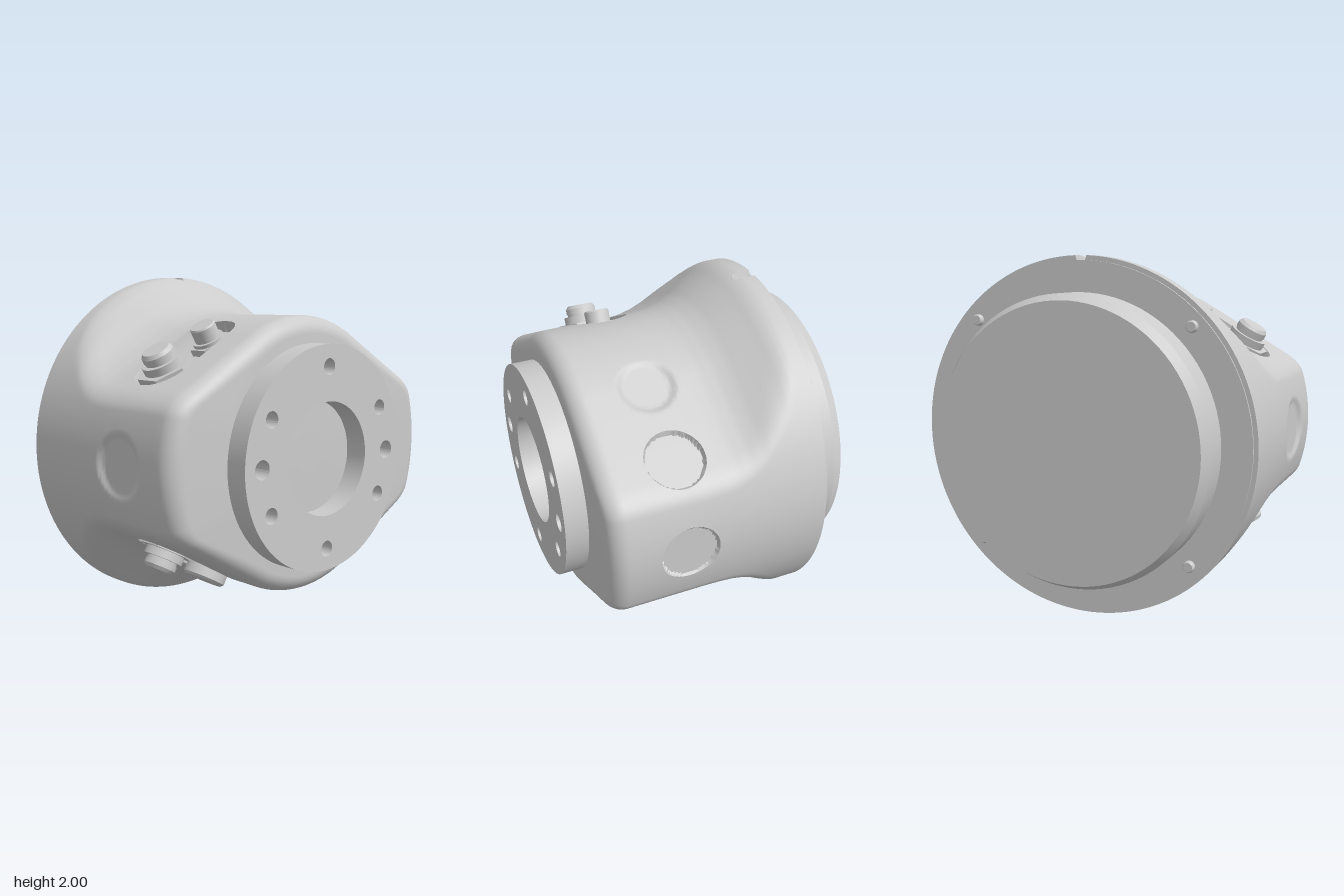
import * as THREE from 'three';
import { toCreasedNormals } from 'three/addons/utils/BufferGeometryUtils.js';

const rad = THREE.MathUtils.degToRad;
const mat = new THREE.MeshStandardMaterial({ color: 0xcccccc });

function add(parent, name, geo) {
  const mesh = new THREE.Mesh(geo, mat);
  mesh.name = name;
  parent.add(mesh);
  return mesh;
}

// Solid of revolution about x from [radius, x] points
function turned(points, segments = 96) {
  const geo = new THREE.LatheGeometry(points.map(p => new THREE.Vector2(p[0], p[1])), segments);
  geo.rotateZ(-Math.PI / 2);
  return toCreasedNormals(geo, rad(25));
}

// Recesses: face angle from +y towards +z, capsule span in x and along the face, floor distance from axis
const pocket = (angle, t0, t1, r, floor, soft = 0, x0 = 0.225, x1 = x0) =>
  ({ angle: rad(angle), t0, t1, r, floor, soft, x0, x1 });
const SLOT_FLOOR = 0.69;
const pockets = [
  pocket(30, 0, 0.34, 0.17, SLOT_FLOOR),
  pocket(150, -0.34, 0, 0.17, SLOT_FLOOR),
  pocket(-30, -0.44, -0.44, 0.165, 0.745),
  pocket(-150, 0.44, 0.44, 0.165, 0.745),
  pocket(-90, 0, 0, 0.165, 0.975),
  pocket(90, 0, 0, 0.17, 0.975, 0.025),
  pocket(-30, 0, 0, 0.145, 0.752, 0.025),
  pocket(-150, -0.05, 0.2, 0.1, 0.775, 0.05, -0.17),
  pocket(0, 0, 0, 0.033, 0.97, 0, -0.7, -0.48),
];

const clamp = THREE.MathUtils.clamp;

// Press the pockets into a surface point [x, y, z]; sharp rims attract nearby vertices
function press(p) {
  for (const k of pockets) {
    const c = Math.cos(k.angle), s = Math.sin(k.angle);
    let h = p[1] * c + p[2] * s;
    let t = -p[1] * s + p[2] * c;
    if (h < 0.5) continue;
    const dx = p[0] - clamp(p[0], k.x0, k.x1);
    const dt = t - clamp(t, k.t0, k.t1);
    const len = Math.hypot(dx, dt);
    const d = len - k.r;
    const snap = 0.0075;
    if (k.soft) {
      const m = 1 - THREE.MathUtils.smoothstep(d, -k.soft, k.soft);
      h += (Math.min(h, k.floor) - h) * m;
    } else if (d < -snap) {
      h = k.floor;
    } else if (d < snap) {
      p[0] = Math.max(-0.57, p[0] - d * dx / len);
      t -= d * dt / len;
    } else continue;
    p[1] = h * c - t * s;
    p[2] = h * s + t * c;
  }
  return p;
}

// Distance of the sloped faces from the axis along x
const flare = [[-0.57, 1.08], [-0.5, 1.05], [-0.45, 1.005], [-0.38, 0.945], [-0.3, 0.892],
  [-0.22, 0.84], [-0.15, 0.808], [-0.07, 0.787], [0, 0.779], [0.1, 0.775], [0.7, 0.775]];
function flareAt(x) {
  const i = Math.max(1, flare.findIndex(p => p[0] >= x));
  const [a, b] = [flare[i - 1], flare[i]];
  return a[1] + (b[1] - a[1]) * (x - a[0]) / (b[0] - a[0]);
}

// Round section cut by four sloped faces that meet in an arc at top and bottom
function sectionRadius(x, phi) {
  const fromVertical = Math.acos(Math.min(1, Math.abs(Math.cos(phi))));
  const a = flareAt(x) / Math.cos(Math.max(0, fromVertical - Math.PI / 6));
  const k = 0.06, blend = Math.max(0, 1 - Math.abs(a - 1) / k);
  return Math.min(a, 1) - blend * blend * k / 4;
}

function bodyGeometry() {
  // Rows [x, inset, scale]: rear cap, flared wall, rounded front edge, front cap
  const rows = [[-0.57, 0, 0]];
  const span = (a, b, n) => {
    for (let i = 0; i < n; i++) rows.push([a + (b - a) * i / n, 0, 1]);
  };
  span(-0.57, -0.5, 4);
  span(-0.5, -0.44, 6);
  span(-0.44, 0.03, 22);
  span(0.03, 0.43, 40);
  span(0.43, 0.56, 3);
  for (let i = 0; i <= 10; i++) {
    const a = i / 10 * Math.PI / 2;
    rows.push([0.56 + 0.1 * Math.sin(a), 0.1 * (1 - Math.cos(a)), 1]);
  }
  rows.push([0.66, 0, 0]);

  const N = 540, pos = [], index = [];
  rows.forEach(([x, inset, scale], i) => {
    for (let j = 0; j < N; j++) {
      const phi = j / N * Math.PI * 2;
      const r = (sectionRadius(x, phi) - inset) * scale;
      pos.push(...press([x, r * Math.cos(phi), r * Math.sin(phi)]));
      if (i === rows.length - 1) continue;
      const a = i * N + j, b = i * N + (j + 1) % N;
      if (i > 0) index.push(a, b, a + N);
      if (i < rows.length - 2) index.push(b, b + N, a + N);
      if (i === 0) index.push(b, b + N, a + N);
    }
  });
  const geo = new THREE.BufferGeometry();
  geo.setAttribute('position', new THREE.Float32BufferAttribute(pos, 3));
  geo.setIndex(index);
  return toCreasedNormals(geo, rad(35));
}

// Mounting ring with a bore and eight holes
function flangeGeometry() {
  const shape = new THREE.Shape().absarc(0, 0, 0.625, 0, Math.PI * 2);
  const hole = (x, y, r) => shape.holes.push(new THREE.Path().absarc(x, y, r, 0, Math.PI * 2, true));
  hole(0, 0, 0.315);
  for (const a of [0, 30, 90, 150, 180, 210, 270, 330]) {
    hole(0.503 * Math.cos(rad(a)), 0.503 * Math.sin(rad(a)), a % 180 ? 0.045 : 0.052);
  }
  const geo = new THREE.ExtrudeGeometry(shape, { depth: 0.14, bevelEnabled: false, curveSegments: 48 });
  geo.rotateY(Math.PI / 2);
  geo.translate(0.65, 0, 0);
  return toCreasedNormals(geo, rad(30));
}

// Plug standing on a slot floor; stages are [bottom radius, top radius, height, sides]
function connector(parent, name, angle, t, stages) {
  const g = new THREE.Group();
  g.name = name;
  const c = Math.cos(rad(angle)), s = Math.sin(rad(angle));
  g.position.set(0.225, SLOT_FLOOR * c - t * s, SLOT_FLOOR * s + t * c);
  g.rotation.x = rad(angle);
  let y = -0.01;
  for (const [r0, r1, h, sides] of stages) {
    const geo = new THREE.CylinderGeometry(r1, r0, h, sides);
    if (sides === 6) geo.rotateY(Math.PI / 6);
    geo.translate(0, y + h / 2, 0);
    add(g, sides === 6 ? 'hexNut' : 'connectorBarrel', toCreasedNormals(geo, rad(30)));
    y += h;
  }
  parent.add(g);
}

export function createModel() {
  const model = new THREE.Group();
  model.name = 'jointHousing';
  model.position.y = 1;

  add(model, 'housingBody', bodyGeometry());
  add(model, 'mountingFlange', flangeGeometry());

  // Rear drum with chamfered edge
  add(model, 'rearDrum', turned([[0, -0.8], [0.77, -0.8], [0.805, -0.74], [0.805, -0.565], [0, -0.565]]));
  add(model, 'rearSeal', turned([[0.8, -0.58], [0.975, -0.58], [0.975, -0.56], [0.8, -0.56]]));

  // Rear flange screws
  for (const sy of [-1, 1]) for (const sz of [-1, 1]) {
    const screw = add(model, 'rearScrew', turned([[0, -0.61], [0.026, -0.61], [0.032, -0.6], [0.032, -0.56]], 16));
    screw.position.set(0, 0.64 * sy, 0.64 * sz);
  }

  // Cable connectors in the two slots
  const nutPlug = [[0.155, 0.155, 0.1, 6], [0.11, 0.11, 0.045, 32], [0.085, 0.085, 0.015, 32],
    [0.09, 0.09, 0.03, 32], [0.09, 0.075, 0.02, 32]];
  const slimPlug = [[0.115, 0.115, 0.05, 6], [0.09, 0.09, 0.02, 32], [0.072, 0.072, 0.075, 32], [0.072, 0.066, 0.008, 32]];
  const widePlug = [[0.1, 0.1, 0.06, 32], [0.122, 0.122, 0.08, 32], [0.122, 0.108, 0.014, 32]];
  connector(model, 'upperSlimConnector', 30, 0, slimPlug);
  connector(model, 'upperNutConnector', 30, 0.34, nutPlug);
  connector(model, 'lowerWideConnector', 150, 0, widePlug);
  connector(model, 'lowerNutConnector', 150, -0.34, nutPlug);

  const root = new THREE.Group();
  root.add(model);
  return root;
}
